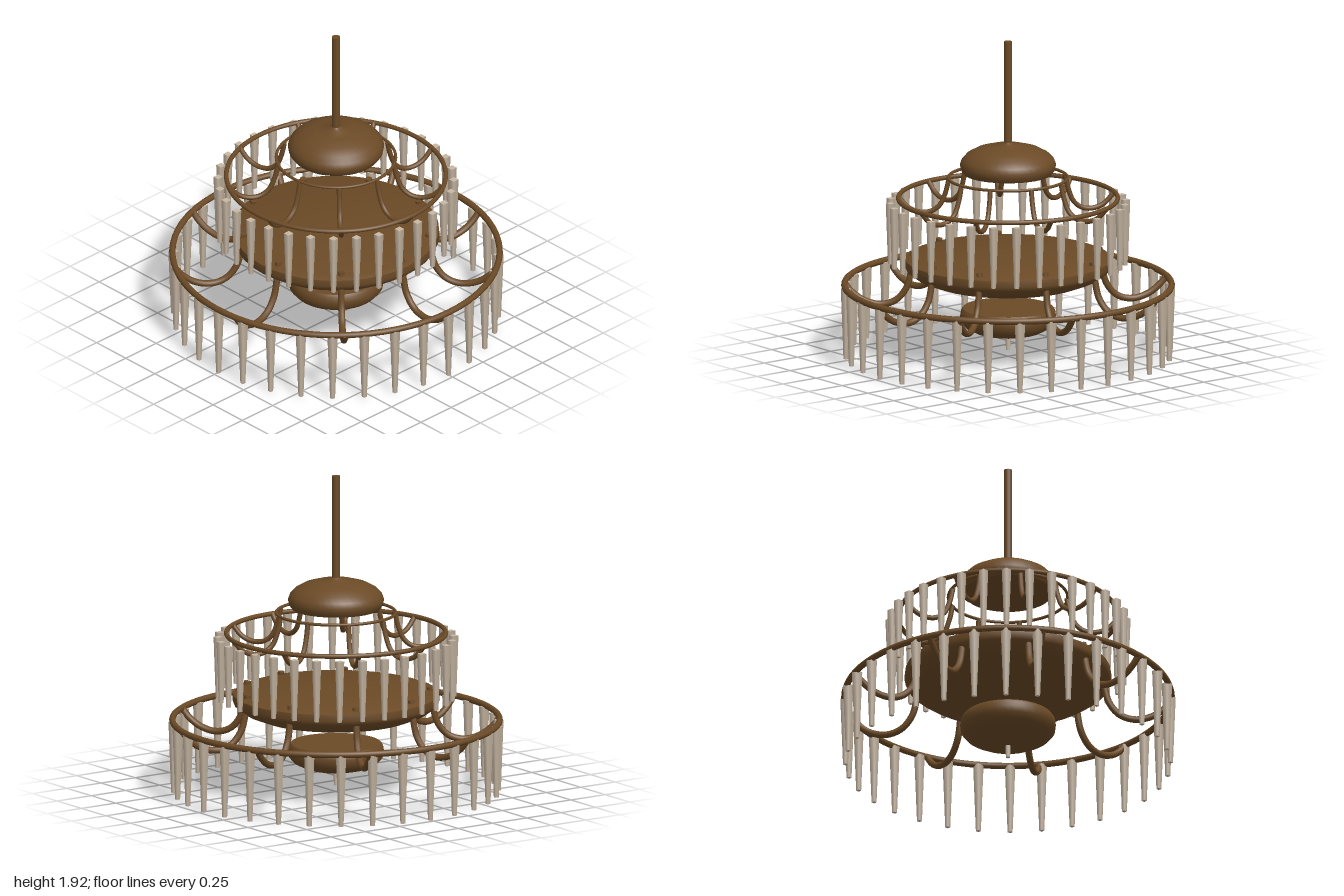
import * as THREE from 'three';
import { toCreasedNormals } from 'three/addons/utils/BufferGeometryUtils.js';

const bronze = new THREE.MeshStandardMaterial({ color: 0x6b4a26 });
const glass = new THREE.MeshStandardMaterial({ color: 0xc8b8a4 });

export function createModel() {
  const model = new THREE.Group();

  function add(name, geometry, material = bronze, parent = model) {
    const mesh = new THREE.Mesh(geometry, material);
    mesh.name = name;
    parent.add(mesh);
    return mesh;
  }

  // Turned part from [radius, height] pairs, bottom to top
  function turned(name, profile) {
    const points = profile.map(([r, y]) => new THREE.Vector2(r, y));
    return add(name, toCreasedNormals(new THREE.LatheGeometry(points, 40), 0.7));
  }

  function ring(name, radius, tube, y) {
    const mesh = add(name, new THREE.TorusGeometry(radius, tube, 10, 80));
    mesh.rotation.x = Math.PI / 2;
    mesh.position.y = y;
  }

  // Nine swooping arms around the axis, path given as [radius, height]
  function arms(name, path, tube) {
    const group = new THREE.Group();
    group.name = name;
    const curve = new THREE.CatmullRomCurve3(path.map(([r, y]) => new THREE.Vector3(r, y, 0)));
    const geometry = new THREE.TubeGeometry(curve, 32, tube, 10);
    const caps = [0, 1].map((t) => {
      const cap = new THREE.CircleGeometry(tube, 10);
      const dir = curve.getTangentAt(t).multiplyScalar(t ? 1 : -1);
      cap.applyQuaternion(new THREE.Quaternion().setFromUnitVectors(new THREE.Vector3(0, 0, 1), dir));
      const p = curve.getPointAt(t);
      return cap.translate(p.x, p.y, p.z);
    });
    for (let i = 0; i < 9; i++) {
      const arm = new THREE.Group();
      arm.name = 'arm';
      arm.rotation.y = -i * 0.71;
      add('armTube', geometry, bronze, arm);
      caps.forEach((cap) => add('armEnd', cap, bronze, arm));
      group.add(arm);
    }
    model.add(group);
  }

  // Square tapered drops, all facing the same way
  function drops(name, radius, bottom, top, rTop, rBottom) {
    const group = new THREE.Group();
    group.name = name;
    const geometry = new THREE.CylinderGeometry(rTop, rBottom, top - bottom, 4);
    geometry.rotateY(Math.PI / 4);
    for (let i = 0; i < 32; i++) {
      const a = (i / 32) * Math.PI * 2;
      add('drop', geometry, glass, group)
        .position.set(Math.cos(a) * radius, (top + bottom) / 2, Math.sin(a) * radius);
    }
    model.add(group);
  }

  // Hanging rod and ceiling dome
  add('rod', new THREE.CylinderGeometry(0.025, 0.025, 0.66, 16)).position.y = 1.59;
  turned('dome', [[0, 1.115], [0.262, 1.115], [0.28, 1.14], [0.286, 1.17], [0.275, 1.2],
    [0.245, 1.232], [0.19, 1.262], [0.12, 1.282], [0.04, 1.292], [0.025, 1.305], [0, 1.305]]);

  // Upper tier
  ring('neckRing', 0.355, 0.009, 1.09);
  ring('upperRing', 0.652, 0.014, 0.965);
  arms('upperArms', [[0.35, 1.09], [0.37, 1.0], [0.405, 0.92], [0.46, 0.88], [0.525, 0.875],
    [0.59, 0.9], [0.652, 0.965]], 0.015);
  drops('upperDrops', 0.7, 0.575, 0.945, 0.028, 0.015);

  // Middle dish
  turned('dish', [[0, 0.385], [0.12, 0.39], [0.25, 0.42], [0.33, 0.445], [0.46, 0.46],
    [0.55, 0.495], [0.605, 0.535], [0.616, 0.56], [0.612, 0.598], [0.575, 0.612], [0, 0.612]]);

  // Lower tier
  ring('lowerRing', 0.972, 0.019, 0.437);
  arms('lowerArms', [[0.56, 0.63], [0.575, 0.52], [0.605, 0.41], [0.67, 0.335], [0.76, 0.31],
    [0.86, 0.335], [0.935, 0.39], [0.975, 0.44]], 0.02);
  drops('lowerDrops', 0.965, 0, 0.43, 0.031, 0.015);

  // Bottom bowl with small finial
  turned('bowl', [[0, 0.115], [0.03, 0.118], [0.06, 0.13], [0.13, 0.137], [0.2, 0.155],
    [0.255, 0.185], [0.28, 0.215], [0.285, 0.25], [0.28, 0.28], [0.268, 0.297], [0, 0.297]]);
  add('finial', new THREE.CylinderGeometry(0.015, 0.013, 0.09, 8), glass).position.y = 0.085;

  return model;
}
